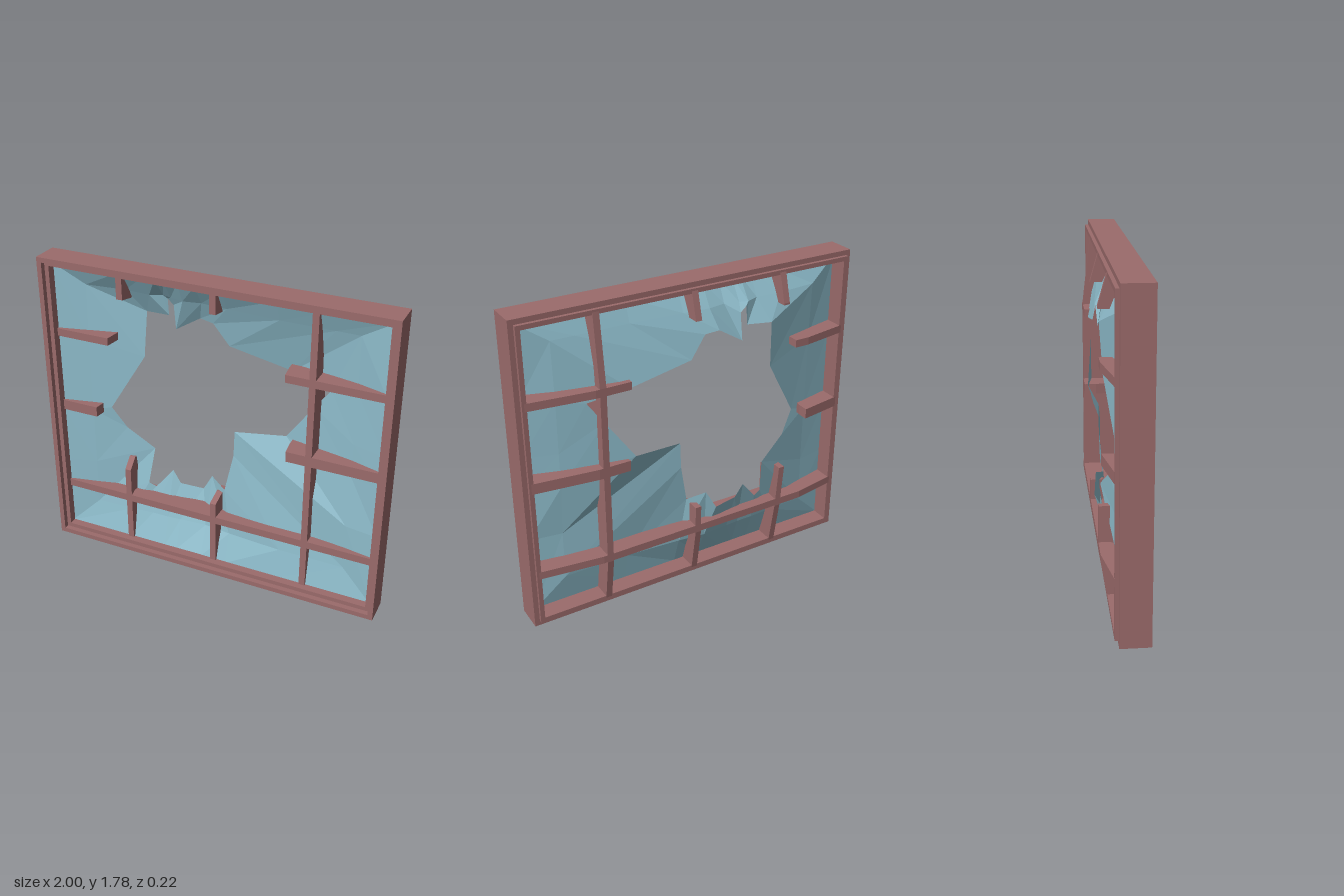
import * as THREE from 'three';

const H = 1.785;
const wood = new THREE.MeshStandardMaterial({ color: 0x9b6b6b });
wood.name = 'reddish wood';
const pane = new THREE.MeshStandardMaterial({ color: 0x8ebccb, side: THREE.DoubleSide, flatShading: true });
pane.name = 'pale blue pane';

// Rectangular ring between two insets from the outer edge, spanning zBack..zFront
function ring(name, outer, inner, zBack, zFront) {
  const rect = (Type, d) => new Type([
    new THREE.Vector2(-1 + d, d), new THREE.Vector2(1 - d, d),
    new THREE.Vector2(1 - d, H - d), new THREE.Vector2(-1 + d, H - d),
  ]);
  const shape = rect(THREE.Shape, outer);
  shape.holes.push(rect(THREE.Path, inner));
  const geo = new THREE.ExtrudeGeometry(shape, { depth: zFront - zBack, bevelEnabled: false });
  geo.translate(0, 0, zBack);
  const mesh = new THREE.Mesh(geo, wood);
  mesh.name = name;
  return mesh;
}

// Bar with a flat front and a back that swells away from the frame.
// reach: length of the swell at the low and high ends; slant: how far a broken end leans out at the back;
// twist: sideways shift of the back of the high end
function bar(name, vertical, at, from, to, width, reach, slant = 0, twist = 0) {
  const lo = vertical ? 0.04 : -0.96, hi = vertical ? H - 0.04 : 0.96;
  const back = s => 0.07 + 0.045 * Math.min(1, (s - lo) / reach[0], (hi - s) / reach[1]);
  const front = -0.045;
  const pts = [[from > lo ? from + slant : from, front], [to < hi ? to - slant : to, front]];
  if (to < hi) pts.push([to, 0.05]);
  pts.push([to, back(to)]);
  for (const k of [hi - reach[1], lo + reach[0]]) if (k > from && k < to) pts.push([k, back(k)]);
  pts.push([from, back(from)]);
  if (from > lo) pts.push([from, 0.05]);
  const shape = new THREE.Shape(pts.map(p => new THREE.Vector2(...p)));
  const geo = new THREE.ExtrudeGeometry(shape, { depth: width, bevelEnabled: false });
  geo.translate(0, 0, -width / 2);
  const p = geo.attributes.position;
  for (let i = 0; i < p.count; i++) {
    if (p.getX(i) > to - 0.001 && p.getY(i) > 0) p.setZ(i, p.getZ(i) + twist);
  }
  geo.rotateX(-Math.PI / 2);
  if (vertical) geo.rotateZ(Math.PI / 2);
  geo.translate(vertical ? at : 0, vertical ? 0 : at, 0);
  const mesh = new THREE.Mesh(geo, wood);
  mesh.name = name;
  return mesh;
}

// Torn pane: each row is a point on the hole's rim, its partner on the frame, and optionally the rim's depth
function tornPane() {
  const T = 1.74, B = 0.045, R = 0.96, L = -0.96, edgeZ = 0.035;
  const rows = [
    [-0.455, 1.49, L, T], [-0.455, 1.49, -0.55, T], [-0.31, 1.5, -0.4, T], [-0.31, 1.6, -0.33, T, -0.07],
    [-0.275, 1.57, -0.28, T, -0.07], [-0.275, 1.42, -0.2, T], [-0.13, 1.51, -0.1, T], [-0.05, 1.5, 0.05, T],
    [0.04, 1.38, 0.35, T], [0.4, 1.31, 0.65, T], [0.63, 1.264, R, T, -0.055], [0.63, 1.264, R, 1.3, -0.055],
    [0.54, 1.14, R, 1.0, -0.07], [0.38, 0.91, R, 0.8], [0.09, 0.885, R, 0.5, -0.06], [0.085, 0.73, R, B, -0.06],
    [0.04, 0.5, 0.4, B, -0.04], [-0.06, 0.54, 0.08, B], [-0.12, 0.43, -0.08, B], [-0.26, 0.44, -0.24, B],
    [-0.31, 0.515, -0.32, B], [-0.41, 0.39, -0.42, B, -0.06], [-0.455, 0.41, -0.55, B, -0.05],
    [-0.43, 0.63, L, B], [-0.59, 0.75, L, 0.5, -0.06], [-0.67, 0.88, L, 0.85, -0.03], [-0.47, 1.22, L, 1.3],
  ];
  const clamp = THREE.MathUtils.clamp;
  const pos = [], index = [], n = rows.length;
  rows.forEach(([hx, hy, ox, oy, hz = -0.092 + 0.01 * Math.sin(hx * 23 + hy * 31)], i) => {
    // a crease parallel to the frame, sagging back everywhere but on the model's right
    const mx = clamp(ox, -0.78, 0.78), my = clamp(oy, 0.22, 1.62);
    const t = Math.min(1, Math.hypot(mx - ox, my - oy) / Math.hypot(hx - ox, hy - oy));
    const sag = ox === L ? 1 : 0.75;
    pos.push(ox, oy, edgeZ, mx, my, edgeZ + (hz - edgeZ) * t ** sag, hx, hy, hz);
    const a = i * 3, b = ((i + 1) % n) * 3;
    for (const k of [0, 1]) index.push(a + k, a + k + 1, b + k, b + k, a + k + 1, b + k + 1);
  });
  const geo = new THREE.BufferGeometry();
  geo.setAttribute('position', new THREE.Float32BufferAttribute(pos, 3));
  geo.setIndex(index);
  geo.computeVertexNormals();
  const mesh = new THREE.Mesh(geo, pane);
  mesh.name = 'tornPane';
  return mesh;
}

export function createModel() {
  const group = new THREE.Group();
  group.name = 'brokenWindow';
  group.add(ring('outerFrame', 0, 0.028, -0.05, 0.11));
  group.add(ring('innerFrame', 0.028, 0.053, -0.07, 0.08));
  group.add(tornPane());

  const top = H - 0.04, bottom = 0.04, side = 0.96;
  // vertical bars
  for (const [name, x, a, b, topReach, slant, twist] of [
    ['leftLongBar', 0.56, bottom, top, 0.39],
    ['lowerRightStub', -0.54, bottom, 0.565, 0.39, 0.035, 0.02],
    ['upperRightStub', -0.54, 1.575, top, 0.16, 0.02],
    ['lowerMiddleStub', 0.005, bottom, 0.475, 0.39, 0.03],
    ['upperMiddleStub', 0.005, 1.595, top, 0.16, 0.015],
  ]) group.add(bar(name, true, x, a, b, 0.036, [0.27, topReach], slant, twist));
  // horizontal bars
  for (const [name, y, a, b, w] of [
    ['bottomBar', 0.335, -side, side, 0.044],
    ['rightUpperStub', 1.332, -side, -0.615, 0.044],
    ['rightMiddleStub', 0.872, -side, -0.715, 0.06],
    ['leftUpperStub', 1.332, 0.4, side, 0.044],
    ['leftMiddleStub', 0.872, 0.42, side, 0.06],
  ]) group.add(bar(name, false, y, a, b, w, [0.26, 0.36], 0.012));
  return group;
}
